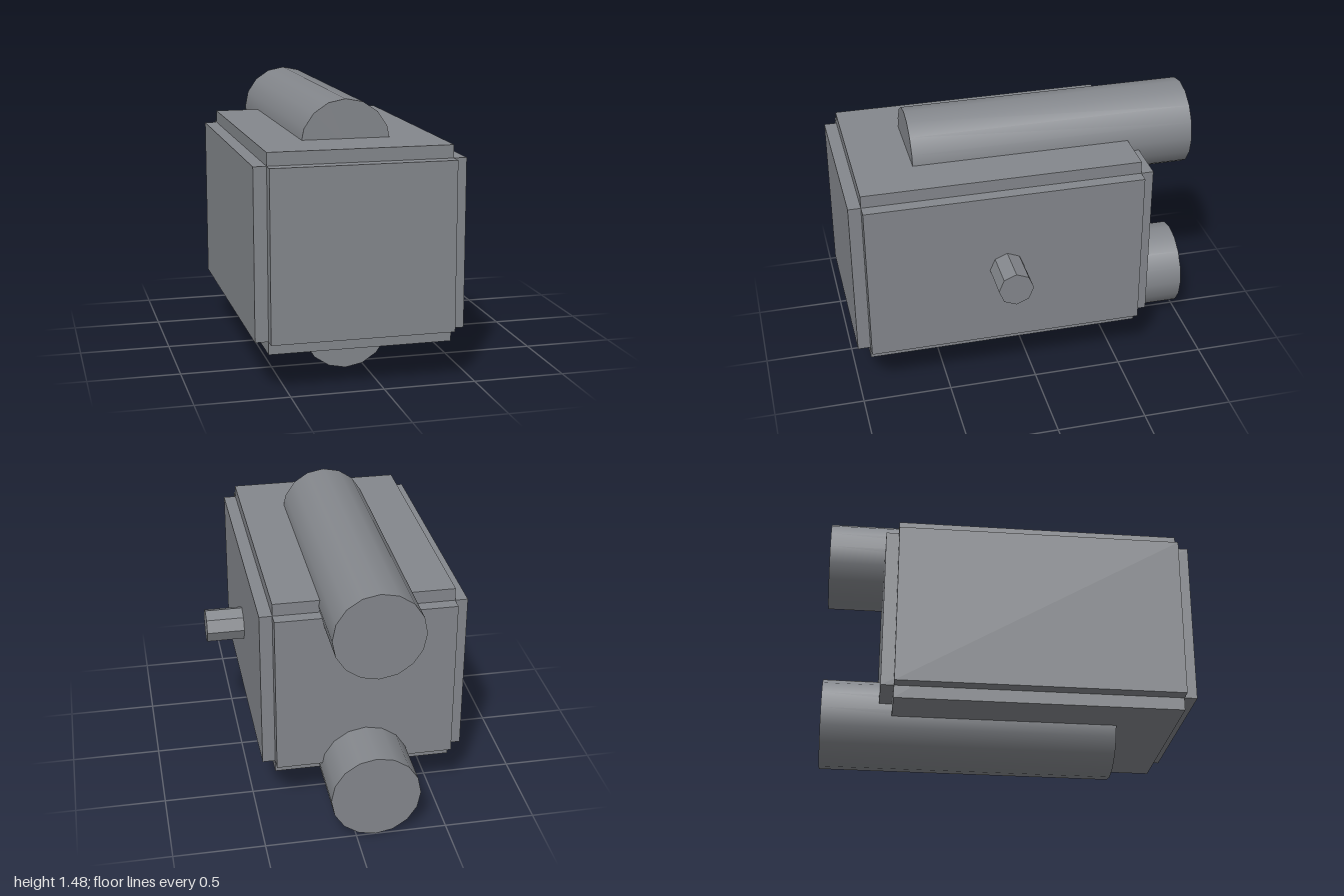
import * as THREE from 'three';

export function createModel() {
  const model = new THREE.Group();
  const color = 0x84878c;
  const material = new THREE.MeshStandardMaterial({ color });
  const flat = new THREE.MeshStandardMaterial({ color, flatShading: true });

  const add = (name, geometry, mat, x, y, z) => {
    const mesh = new THREE.Mesh(geometry, mat);
    mesh.name = name;
    mesh.position.set(x, y, z);
    model.add(mesh);
  };

  // Housing: one core size, extended along each axis in turn to give stepped edges
  const centre = [-0.107, 0.74, 0.155];
  const core = [0.985, 0.915, 1.55];
  const step = 0.14;
  ['sidePanels', 'topAndBottomPanels', 'frontAndBackPanels'].forEach((name, axis) => {
    const size = core.map((s, i) => (i === axis ? s + step : s));
    add(name, new THREE.BoxGeometry(...size), material, ...centre);
  });

  // Long tubes half sunk into the top and bottom, sticking out at the back
  const tubeRadius = 0.246, tubeLength = 1.605;
  for (const [name, y] of [['upperTube', 1.234], ['lowerTube', tubeRadius]]) {
    const tube = new THREE.CylinderGeometry(tubeRadius, tubeRadius, tubeLength, 16).rotateX(Math.PI / 2);
    add(name, tube, material, centre[0], y, -1 + tubeLength / 2);
  }

  // Short octagonal shaft on the left side
  const shaft = new THREE.CylinderGeometry(0.097, 0.097, 0.27, 8).rotateZ(Math.PI / 2);
  add('sideShaft', shaft, flat, 0.535, centre[1], centre[2]);

  return model;
}
